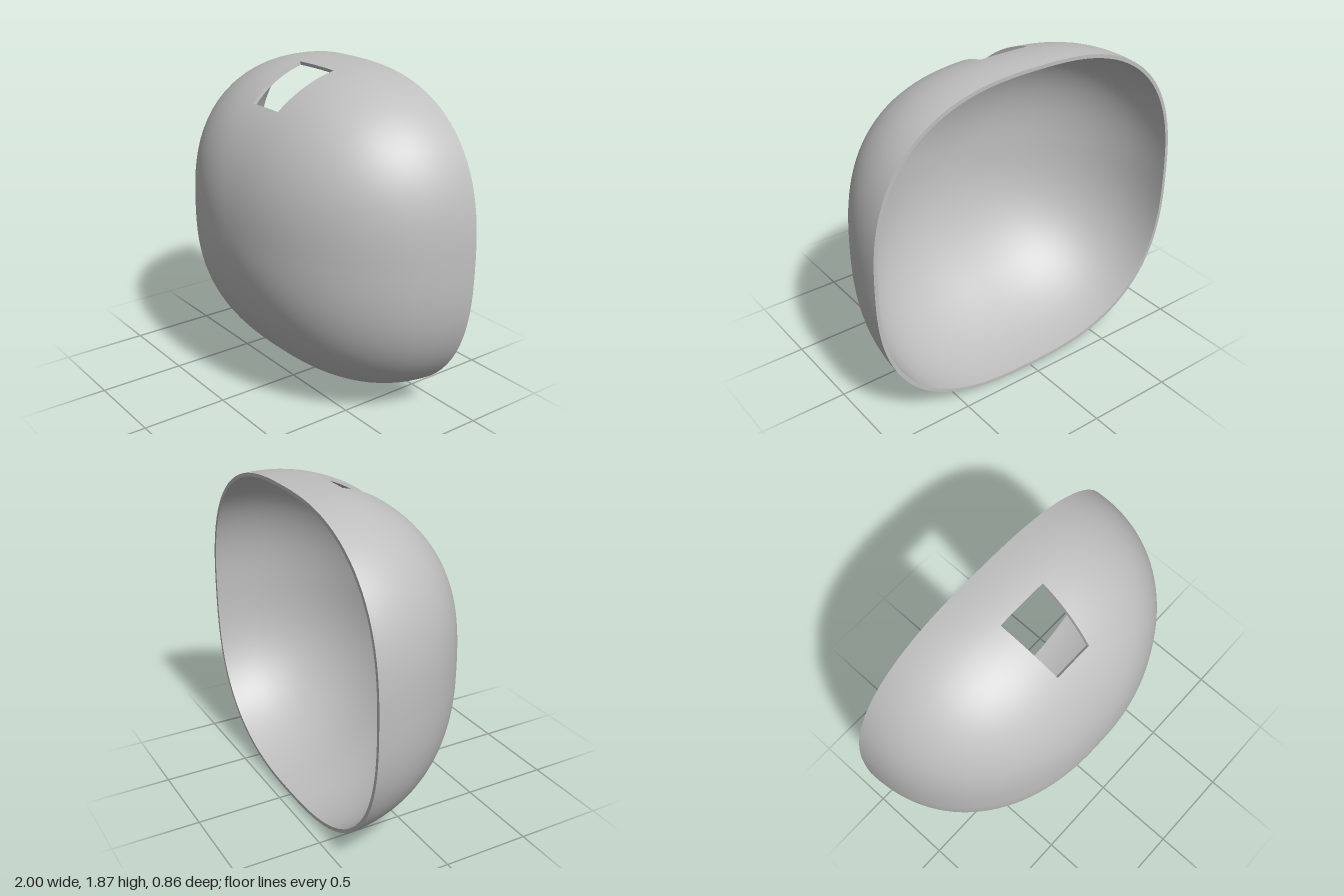
import * as THREE from 'three';

const COLS = 120;            // columns around the front-back axis
const HOLE = [27, 33];       // columns cut by the opening at the top
const BOW = 2.15;            // roundness from rim to front
const SQUARE = 2.6;          // squareness of the rim outline
const LEAN = 0.08;           // upward drift towards the front
const BACK = -0.43;

// Latitudes from the rim (0) to the front pole (PI / 2), broken at the opening's edges
const latAt = (t) => Math.asin(Math.pow(t, BOW / 2));
const breaks = [0, latAt(0.32), latAt(0.715), Math.PI / 2];
const steps = [10, 10, 16];
const HOLE_ROWS = [steps[0], steps[0] + steps[1]];
const lats = [0];
steps.forEach((n, k) => {
  for (let i = 1; i <= n; i++) lats.push(breaks[k] + (breaks[k + 1] - breaks[k]) * i / n);
});
const ROWS = lats.length - 1;

// Point on the dome for a row and column; inset moves it to the inner skin
function domePoint(row, col, inset) {
  const a = (col % COLS) / COLS * Math.PI * 2;
  const c = Math.cos(a), s = Math.sin(a);
  const r = Math.pow(Math.abs(c) ** SQUARE + Math.abs(s) ** SQUARE, -1 / SQUARE);
  const rho = row === ROWS ? 0 : Math.pow(Math.cos(lats[row]), 2 / BOW);
  const d = (0.86 - inset) * Math.pow(Math.sin(lats[row]), 2 / BOW);
  return [
    (1 - inset) * r * c * rho,
    0.935 + (0.935 - inset) * r * s * rho + LEAN * d,
    BACK + d,
  ];
}

function toGeometry(points, index) {
  const g = new THREE.BufferGeometry();
  g.setAttribute('position', new THREE.Float32BufferAttribute(points.flat(), 3));
  g.setIndex(index);
  return g;
}

// Smooth dome skin with the opening left out
function skin(inset, flip) {
  const points = [], index = [];
  for (let i = 0; i < ROWS; i++)
    for (let j = 0; j < COLS; j++) points.push(domePoint(i, j, inset));
  const pole = points.push(domePoint(ROWS, 0, inset)) - 1;
  const id = (i, j) => (i === ROWS ? pole : i * COLS + j % COLS);
  const tri = (a, b, c) => index.push(...(flip ? [a, c, b] : [a, b, c]));
  for (let i = 0; i < ROWS; i++) {
    for (let j = 0; j < COLS; j++) {
      const open = i >= HOLE_ROWS[0] && i < HOLE_ROWS[1] && j >= HOLE[0] && j < HOLE[1];
      if (open) continue;
      tri(id(i, j), id(i, j + 1), id(i + 1, j + 1));
      if (i < ROWS - 1) tri(id(i, j), id(i + 1, j + 1), id(i + 1, j));
    }
  }
  const g = toGeometry(points, index);
  g.computeVertexNormals();
  return g;
}

// Wall joining outer and inner skins along a closed loop of [row, col]
function wall(loop, thickness) {
  const points = [], index = [];
  loop.forEach(([i, j], k) => {
    points.push(domePoint(i, j, 0), domePoint(i, j, thickness));
    const a = 2 * k, b = 2 * ((k + 1) % loop.length);
    index.push(a, b, b + 1, a, b + 1, a + 1);
  });
  const g = toGeometry(points, index).toNonIndexed();
  g.computeVertexNormals();
  return g;
}

export function createModel() {
  const model = new THREE.Group();
  model.name = 'domeShell';
  const grey = new THREE.MeshStandardMaterial({ color: 0xbfbfbf });
  grey.name = 'plain grey';
  const thickness = 0.02;
  const add = (name, geometry) => {
    const mesh = new THREE.Mesh(geometry, grey);
    mesh.name = name;
    model.add(mesh);
  };

  add('outerSkin', skin(0, false));
  add('innerSkin', skin(thickness, true));

  // Flat rim at the back
  const rim = [];
  for (let j = COLS; j > 0; j--) rim.push([0, j]);
  add('backRim', wall(rim, thickness));

  // Four sides of the opening
  const [r0, r1] = HOLE_ROWS, [c0, c1] = HOLE;
  const edge = [];
  for (let j = c0; j < c1; j++) edge.push([r0, j]);
  for (let i = r0; i < r1; i++) edge.push([i, c1]);
  for (let j = c1; j > c0; j--) edge.push([r1, j]);
  for (let i = r1; i > r0; i--) edge.push([i, c0]);
  add('openingWalls', wall(edge, thickness));

  return model;
}
